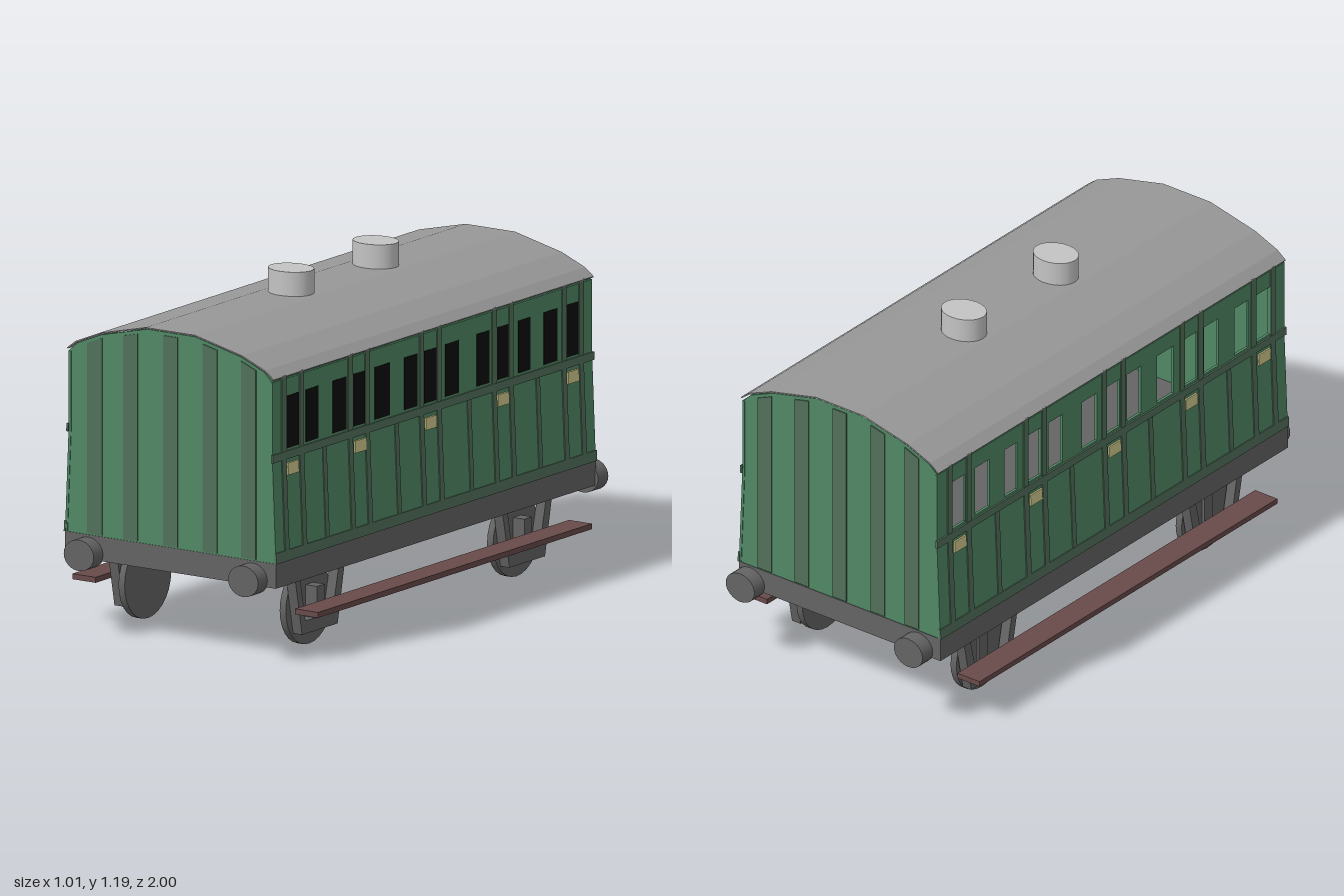
import * as THREE from 'three';

const mat = (name, color, extra = {}) => {
  const m = new THREE.MeshStandardMaterial({ color, ...extra });
  m.name = name;
  return m;
};

export function createModel() {
  const green = mat('body green', 0x508865);
  const trim = mat('trim grey green', 0x51705a);
  const iron = mat('chassis grey', 0x646464);
  const roofGrey = mat('roof grey', 0x989898, { side: THREE.DoubleSide, flatShading: true });
  const ventGrey = mat('vent light grey', 0xc4c4c4);
  const brown = mat('step brown', 0x694b4a);
  const black = mat('window black', 0x0c0c0c);
  const cream = mat('plate cream', 0xd0c98c);

  const model = new THREE.Group();
  model.name = 'railwayCarriage';
  const CX = 0.005, HALF = 0.945;

  const add = (name, geo, material, x = 0, y = 0, z = 0) => {
    const mesh = new THREE.Mesh(geo, material);
    mesh.name = name;
    mesh.position.set(x, y, z);
    model.add(mesh);
    return mesh;
  };
  const box = (name, m, x0, x1, y0, y1, z0, z1) =>
    add(name, new THREE.BoxGeometry(x1 - x0, y1 - y0, z1 - z0), m,
      (x0 + x1) / 2, (y0 + y1) / 2, (z0 + z1) / 2);

  // Half width of the body: leans in up to the waist, then goes straight up
  const halfWidth = y => 0.42 + 0.015 * Math.max(0, (0.72 - y) / 0.365);

  // Plate lying on a side wall, sheared to follow its lean
  const sidePlate = (name, m, s, z, width, y0, y1, proud, depth = 0.008) => {
    const geo = new THREE.BoxGeometry(depth, y1 - y0, width);
    const p = geo.attributes.position;
    for (let i = 0; i < p.count; i++) {
      const y = p.getY(i) + (y0 + y1) / 2;
      p.setXYZ(i, p.getX(i) + CX + s * (halfWidth(y) + proud - depth / 2), y, p.getZ(i) + z);
    }
    geo.computeVertexNormals();
    add(name, geo, m);
  };

  // Chassis
  box('chassis', iron, -0.43, 0.44, 0.27, 0.355, -HALF, HALF);

  // Roof outline, also used for the end walls
  const arch = [[-0.42, 0.985], [-0.385, 1.015], [-0.29, 1.055], [-0.1, 1.1],
    [0.1, 1.1], [0.29, 1.055], [0.385, 1.015], [0.42, 0.98]];
  const archY = x => {
    for (let i = 1; i < arch.length; i++) {
      const [x0, y0] = arch[i - 1], [x1, y1] = arch[i];
      if (x <= x1) return y0 + (y1 - y0) * (x - x0) / (x1 - x0);
    }
    return 0.98;
  };
  const polygon = pts => new THREE.Shape(pts.map(p => new THREE.Vector2(p[0], p[1])));
  const extrude = (shape, depth) => new THREE.ExtrudeGeometry(shape, { depth, bevelEnabled: false });

  // Roof: thin arched sheet, a little above the side walls
  const outer = arch.map(([x, y]) => [x * 1.015, Math.max(y + 0.006, 0.994)]);
  const inner = outer.map(([x, y]) => [x * 0.995, y - 0.004]).reverse();
  add('roof', extrude(polygon([...outer, ...inner]), HALF * 2), roofGrey, CX, 0, -HALF);

  // Oval roof vents
  for (const z of [0.225, -0.275]) {
    const vent = add('roofVent', new THREE.CylinderGeometry(1, 1, 0.1, 24), ventGrey, 0, 1.14, z);
    vent.scale.set(0.083, 1, 0.068);
  }

  // End walls with vertical strips
  const endShape = polygon([[-0.435, 0.355], [0.435, 0.355], [0.42, 0.72], ...[...arch].reverse(), [-0.42, 0.72]]);
  for (const s of [1, -1]) {
    add('endWall', extrude(endShape, 0.01), green, CX, 0, s > 0 ? HALF - 0.012 : -HALF + 0.002);
    for (const x of [-0.312, -0.165, 0, 0.163, 0.323]) {
      const a = x - 0.03, b = x + 0.03;
      const strip = polygon([[a, 0.36], [b, 0.36], [b, archY(b) - 0.012], [a, archY(a) - 0.012]]);
      add('endStrip', extrude(strip, 0.006), trim, CX, 0, s > 0 ? HALF - 0.004 : -HALF - 0.002);
    }
  }

  // Windows: centre along the side and width
  const windows = [[0.829, 0.075], [0.711, 0.075], [0.548, 0.08], [0.433, 0.075], [0.297, 0.09],
    [0.128, 0.075], [0.014, 0.07], [-0.115, 0.08], [-0.299, 0.075], [-0.414, 0.07],
    [-0.543, 0.07], [-0.698, 0.08], [-0.826, 0.07]];
  const rect = (z0, z1, y0, y1) => [[-z0, y0], [-z1, y0], [-z1, y1], [-z0, y1]];

  for (const s of [1, -1]) {
    // Upper wall: glazed on the left, open window holes on the right
    const wall = polygon(rect(HALF, -HALF, 0.72, 0.983));
    for (const [z, w] of windows) {
      if (s > 0) sidePlate('windowPane', black, s, z, w, 0.74, 0.922, 0.002, 0.004);
      else wall.holes.push(polygon(rect(z + w / 2, z - w / 2, 0.74, 0.922)));
    }
    const geo = extrude(wall, 0.01);
    geo.rotateY(Math.PI / 2);
    add('upperSideWall', geo, green, CX + (s > 0 ? 0.41 : -0.42));

    // Lower wall and rails
    sidePlate('lowerSideWall', green, s, 0, HALF * 2, 0.355, 0.72, 0, 0.01);
    sidePlate('waistRail', trim, s, 0, HALF * 2 + 0.01, 0.704, 0.732, 0.006);
    sidePlate('bottomRail', trim, s, 0, HALF * 2 + 0.004, 0.355, 0.392, 0.004);

    // Door posts, panel posts and door plates
    for (const z of [0.88, 0.775, 0.487, 0.387, 0.067, -0.037, -0.363, -0.463, -0.775, -0.877]) {
      sidePlate('doorPostUpper', trim, s, z, 0.025, 0.73, 0.996, 0.004);
      sidePlate('doorPostLower', trim, s, z, 0.025, 0.39, 0.706, 0.004);
    }
    for (const z of [0.64, 0.214, -0.214, -0.62])
      sidePlate('panelPost', trim, s, z, 0.022, 0.39, 0.706, 0.003);
    for (const z of [0.83, 0.433, 0.016, -0.412, -0.825])
      sidePlate('doorPlate', cream, s, z, 0.064, 0.648, 0.69, 0.006);

    // Running board
    const step = s > 0 ? [0.41, 0.505] : [-0.508, -0.412];
    box('runningBoard', brown, ...step, 0.148, 0.167, -0.83, 0.79);

    // Wheels with axle guards and axle boxes
    const wheelX = s > 0 ? 0.327 : -0.338;
    const guardX = s > 0 ? 0.34 : -0.397;
    for (const z of [0.605, -0.62]) {
      const wheel = new THREE.CylinderGeometry(0.138, 0.138, 0.025, 28);
      wheel.rotateZ(Math.PI / 2);
      add('wheel', wheel, iron, wheelX, 0.14, z);

      const guard = polygon([[-0.14, 0.275], [-0.095, 0.055], [0.115, 0.055], [0.16, 0.275]]);
      guard.holes.push(polygon([[-0.11, 0.27], [-0.075, 0.1], [0.085, 0.1], [0.125, 0.27]]));
      const guardGeo = extrude(guard, 0.037);
      guardGeo.rotateY(Math.PI / 2);
      add('axleGuard', guardGeo, iron, guardX, 0, z);
      const boxX = s > 0 ? [0.335, 0.386] : [-0.36, -0.335];
      box('axleBox', iron, ...boxX, 0.1, 0.21, z - 0.026, z + 0.02);
    }
  }

  // Buffers
  for (const [x, s] of [[-0.335, 1], [0.343, 1], [-0.335, -1], [0.391, -1]]) {
    const buffer = new THREE.CylinderGeometry(1, 1, 0.06, 24);
    buffer.rotateX(Math.PI / 2);
    add('buffer', buffer, iron, x, 0.293, s * 0.97).scale.set(0.062, 0.054, 1);
  }

  return model;
}
